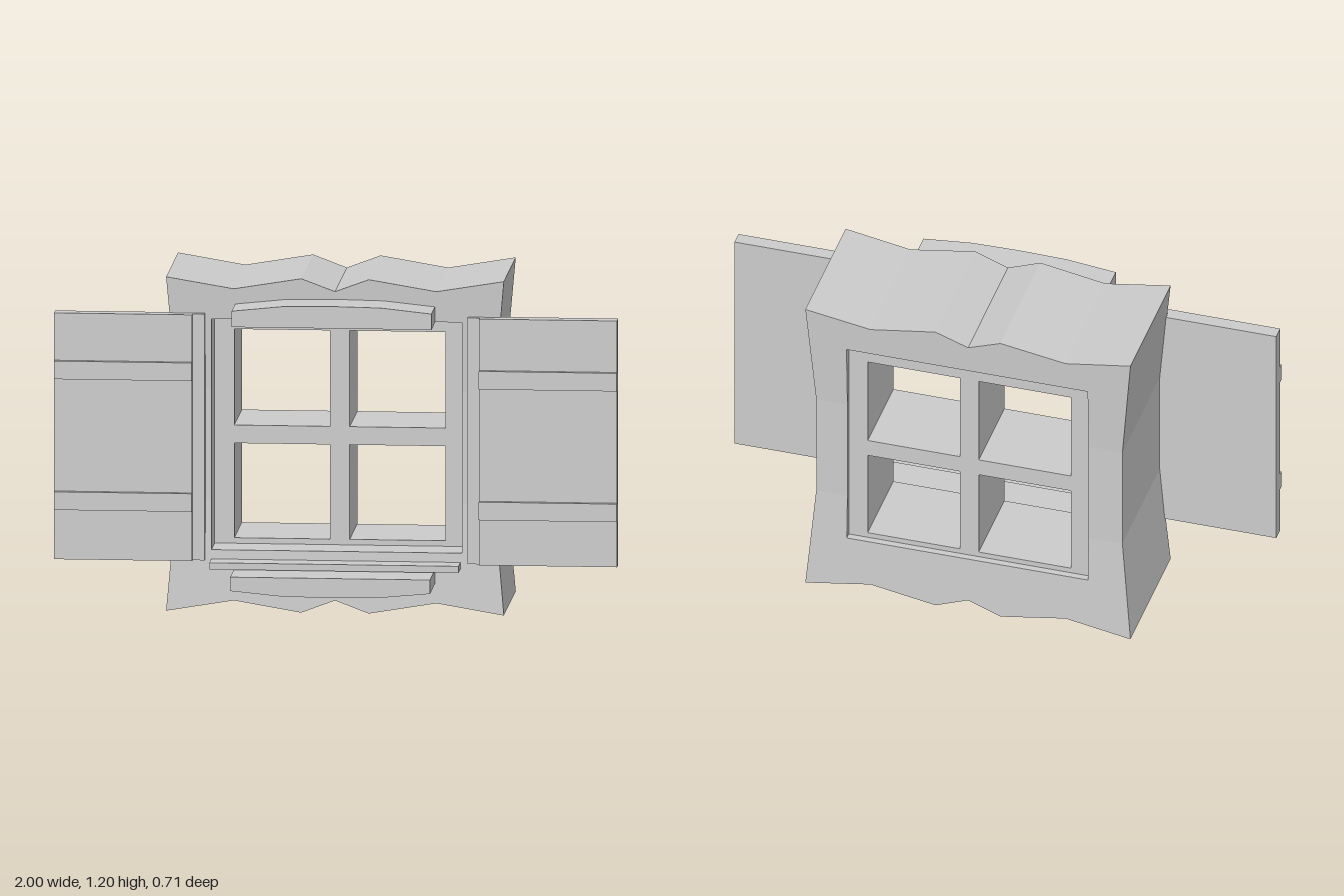
import * as THREE from 'three';

const material = new THREE.MeshStandardMaterial({ color: 0xcccccc, flatShading: true });

function addMesh(parent, name, geometry) {
  const mesh = new THREE.Mesh(geometry, material);
  mesh.name = name;
  parent.add(mesh);
  return mesh;
}

// Box given by its limits on each axis
function addBox(parent, name, [x0, x1], [y0, y1], [z0, z1]) {
  const mesh = addMesh(parent, name, new THREE.BoxGeometry(x1 - x0, y1 - y0, z1 - z0));
  mesh.position.set((x0 + x1) / 2, (y0 + y1) / 2, (z0 + z1) / 2);
  return mesh;
}

const toShape = (points) => new THREE.Shape(points.map(([x, y]) => new THREE.Vector2(x, y)));

// Wall block: zigzag top and bottom, waisted sides, square opening
function wallGeometry() {
  const top = [[0.595, 1.2], [0.355, 1.16], [0.115, 1.2], [-0.005, 1.155], [-0.125, 1.2], [-0.365, 1.16], [-0.605, 1.2]];
  const bottom = top.map(([x, y]) => [x, 1.2 - y]).reverse();
  const L = -0.57, R = 0.56, h = 0.445, y0 = 0.22, y1 = 1.05, lo = 0.4, hi = 0.8;

  const outline = [...bottom, [R, lo], [R, hi], ...top, [L, hi], [L, lo]];
  const opening = [[-h, y0], [-h, lo], [-h, hi], [-h, y1], [h, y1], [h, hi], [h, lo], [h, y0]];
  const bands = [
    [...top, [L, hi], [-h, hi], [-h, y1], [h, y1], [h, hi], [R, hi]],
    [[L, lo], [-h, lo], [-h, hi], [L, hi]],
    [[h, lo], [R, lo], [R, hi], [h, hi]],
    [...bottom, [R, lo], [h, lo], [h, y0], [-h, y0], [-h, lo], [L, lo]],
  ];

  // The block flares in depth towards its top and bottom
  const flare = (y) => Math.max(0, (Math.abs(y - 0.6) - 0.2) / 0.4) * 0.018;
  const front = ([x, y]) => [x, y, 0.13 + flare(y)];
  const back = ([x, y]) => [x, y, -0.337 - flare(y)];
  const positions = [];

  // Front and back faces, one flat band at a time
  for (const band of bands) {
    const flat = new THREE.ShapeGeometry(toShape(band)).toNonIndexed().attributes.position;
    for (let i = 0; i < flat.count; i += 3) {
      const [a, b, c] = [0, 1, 2].map((k) => [flat.getX(i + k), flat.getY(i + k)]);
      positions.push(...front(a), ...front(b), ...front(c));
      positions.push(...back(a), ...back(c), ...back(b));
    }
  }
  // Outer rim and the reveal of the opening
  for (const loop of [outline, opening]) {
    loop.forEach((a, i) => {
      const b = loop[(i + 1) % loop.length];
      positions.push(...front(a), ...back(a), ...back(b));
      positions.push(...front(a), ...back(b), ...front(b));
    });
  }
  const geometry = new THREE.BufferGeometry();
  geometry.setAttribute('position', new THREE.Float32BufferAttribute(positions, 3));
  geometry.computeVertexNormals();
  return geometry;
}

// Deep window frame with four panes
function windowFrameGeometry() {
  const shape = toShape([[-0.445, 0.22], [0.445, 0.22], [0.445, 1.05], [-0.445, 1.05]]);
  for (const [x0, x1] of [[-0.375, -0.035], [0.035, 0.375]]) {
    for (const [y0, y1] of [[0.24, 0.58], [0.645, 0.99]]) {
      shape.holes.push(toShape([[x0, y0], [x0, y1], [x1, y1], [x1, y0]]));
    }
  }
  return new THREE.ExtrudeGeometry(shape, { depth: 0.32, bevelEnabled: false }).translate(0, 0, -0.32);
}

// Board with one flat edge and one bowed edge
function bowedBoardGeometry(flatY, endY, shoulderY, midY, z1) {
  const shape = toShape([
    [-0.36, flatY], [0.35, flatY], [0.35, endY], [0.17, shoulderY],
    [-0.005, midY], [-0.18, shoulderY], [-0.36, endY],
  ]);
  return new THREE.ExtrudeGeometry(shape, { depth: z1 - 0.13, bevelEnabled: false }).translate(0, 0, 0.13);
}

// Open shutter on one side, with two battens and a hinge strip
function makeShutter(side, name, battenShift) {
  const shutter = new THREE.Group();
  shutter.name = name;
  const span = (a, b) => (side > 0 ? [a, b] : [-b, -a]);
  addBox(shutter, 'shutterPanel', span(0.51, 1), [0.185, 1.07], [0.13, 0.18]);
  addBox(shutter, 'hingeStrip', span(0.467, 0.51), [0.185, 1.07], [0.13, 0.16]);
  for (const y of [0.35, 0.82]) {
    addBox(shutter, 'shutterBatten', span(0.51, 1), [y + battenShift, y + battenShift + 0.065], [0.18, 0.198]);
  }
  return shutter;
}

export function createModel() {
  const model = new THREE.Group();
  model.name = 'shutteredWindow';

  addMesh(model, 'wallBlock', wallGeometry());
  addMesh(model, 'windowFrame', windowFrameGeometry());

  // Trim above and below the opening
  addMesh(model, 'lintel', bowedBoardGeometry(1.048, 1.105, 1.124, 1.127, 0.293));
  addMesh(model, 'lowerLedge', bowedBoardGeometry(0.16, 0.11, 0.093, 0.09, 0.355));
  addBox(model, 'sill', [-0.445, 0.44], [0.163, 0.187], [0.13, 0.22]);

  model.add(makeShutter(1, 'leftShutter', 0));
  model.add(makeShutter(-1, 'rightShutter', 0.015));
  return model;
}
